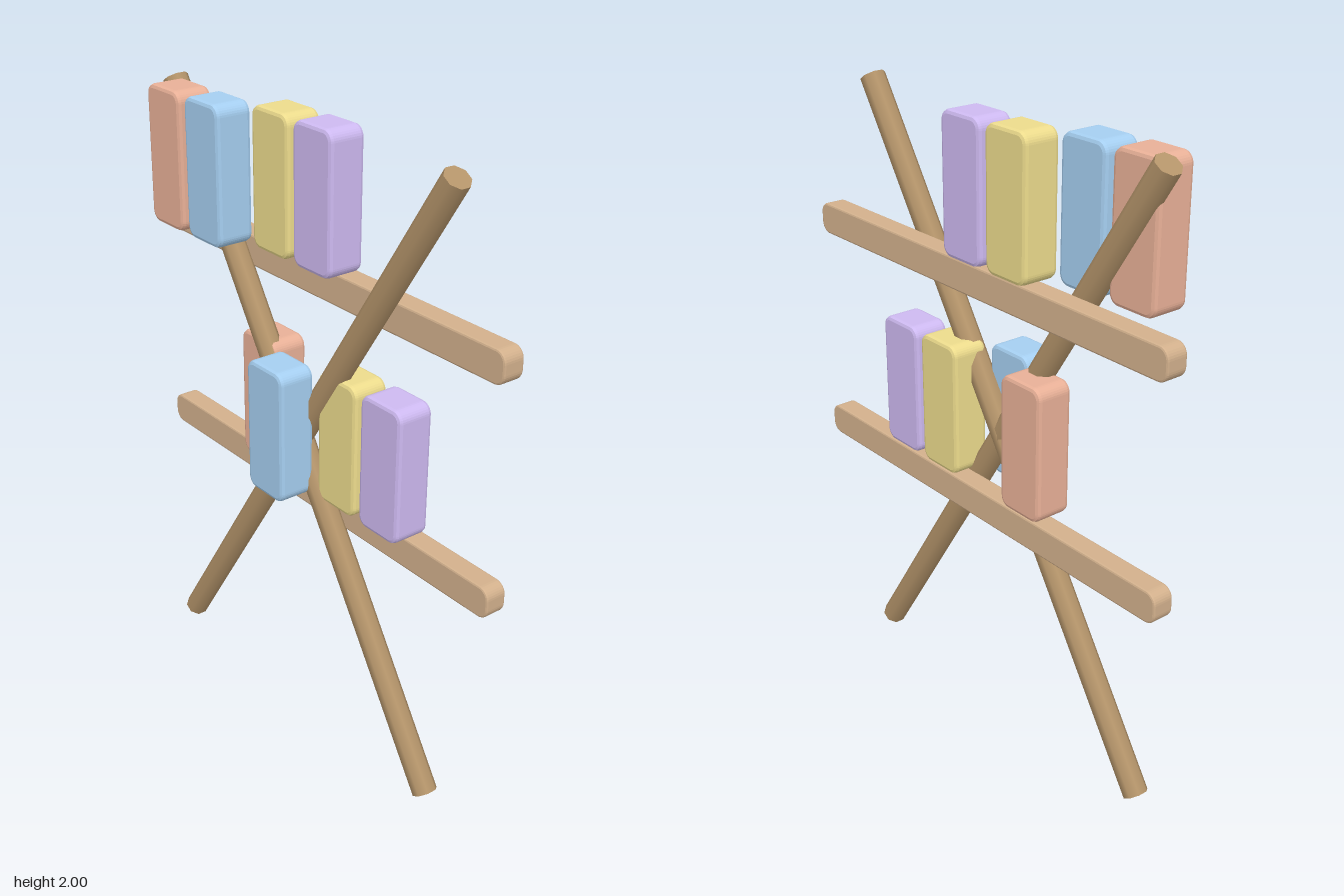
import * as THREE from 'three';

const material = (color) => new THREE.MeshStandardMaterial({ color });
const POLE = material(0xb4946a);
const SHELF = material(0xd2b08c);
const ORANGE = material(0xe8b097);
const BLUE = material(0xa5cef0);
const YELLOW = material(0xecdb8c);
const PURPLE = material(0xcdb9f0);

// Box with rounded corners in the front outline and a fine bevel front and back
function softBlock(w, h, d, radius = 0.035, bevel = 0.012) {
  const x = w / 2 - bevel, y = h / 2 - bevel, r = radius - bevel;
  const s = new THREE.Shape();
  s.moveTo(-x + r, -y);
  s.lineTo(x - r, -y).absarc(x - r, -y + r, r, -Math.PI / 2, 0);
  s.lineTo(x, y - r).absarc(x - r, y - r, r, 0, Math.PI / 2);
  s.lineTo(-x + r, y).absarc(-x + r, y - r, r, Math.PI / 2, Math.PI);
  s.lineTo(-x, -y + r).absarc(-x + r, -y + r, r, Math.PI, Math.PI * 1.5);
  const depth = d - 2 * bevel;
  return new THREE.ExtrudeGeometry(s, {
    depth, curveSegments: 4, bevelSize: bevel, bevelThickness: bevel, bevelSegments: 2,
  }).translate(0, 0, -depth / 2);
}

export function createModel() {
  const group = new THREE.Group();
  const add = (name, geometry, mat, x, y, z) => {
    const mesh = new THREE.Mesh(geometry, mat);
    mesh.name = name;
    mesh.position.set(x, y, z);
    group.add(mesh);
    return mesh;
  };

  // Two crossed eight-sided poles
  const pole = new THREE.CylinderGeometry(0.04, 0.04, 2.333, 8).rotateY(Math.PI / 8);
  for (const side of [-1, 1]) {
    add(side < 0 ? 'poleLeaningLeft' : 'poleLeaningRight', pole, POLE, -0.02, 1, -0.02)
      .rotation.z = side * 0.575;
  }

  // Two shelf bars behind the poles
  const shelf = softBlock(1.574, 0.1, 0.07, 0.035, 0.006);
  add('lowerShelf', shelf, SHELF, 0, 0.79, -0.088);
  add('upperShelf', shelf, SHELF, 0, 1.51, -0.088);

  // Rows of upright blocks: name, material, x, z
  const block = softBlock(0.174, 0.432, 0.12);
  const rows = [
    ['upper', 1.771, [
      ['OrangeBlock', ORANGE, -0.542, 0.041],
      ['BlueBlock', BLUE, -0.347, 0.037],
      ['YellowBlock', YELLOW, -0.15, -0.065],
      ['PurpleBlock', PURPLE, 0.047, -0.065],
    ]],
    ['lower', 1.054, [
      ['OrangeBlock', ORANGE, -0.215, -0.063],
      ['BlueBlock', BLUE, -0.019, 0.058],
      ['YellowBlock', YELLOW, 0.177, -0.06],
      ['PurpleBlock', PURPLE, 0.373, -0.06],
    ]],
  ];
  for (const [row, y, blocks] of rows) {
    for (const [name, mat, x, z] of blocks) add(row + name, block, mat, x, y, z);
  }
  return group;
}
